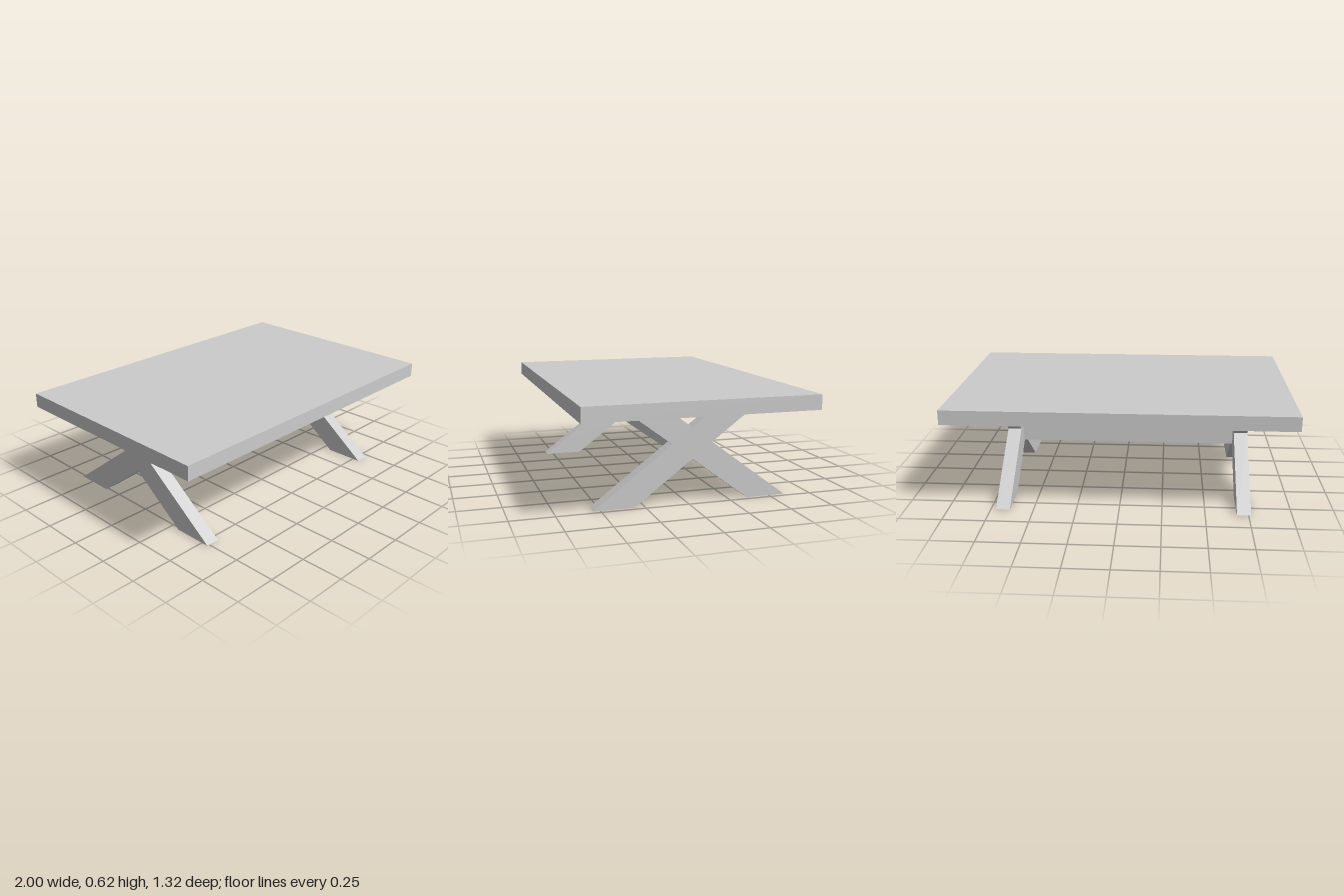
import * as THREE from 'three';

const TOP_Y = 0.54;          // underside of the table top
const BASE_X = -0.022;       // the base sits slightly off centre
const BASE_Z = -0.027;
const LEG_T = 0.082;         // leg thickness
const LEG_X = 0.702;         // leg centre from base centre

export function createModel() {
  const group = new THREE.Group();
  const material = new THREE.MeshStandardMaterial({ color: 0xcccccc, flatShading: true });

  const add = (name, geometry, x, y, z) => {
    const mesh = new THREE.Mesh(geometry, material);
    mesh.name = name;
    mesh.position.set(x, y, z);
    group.add(mesh);
  };

  // Table top
  const topH = 0.085;
  add('tableTop', new THREE.BoxGeometry(2, topH, 1.324), 0, TOP_Y + topH / 2, 0);

  // Crossed leg outline: one half, then its mirror
  const half = [
    [0, 0.251], [0.335, 0], [0.57, 0], [0.117, 0.34],
    [0.387, TOP_Y], [0.15, TOP_Y], [0, 0.427],
  ];
  const mirrored = half.slice(1, -1).reverse().map(([x, y]) => [-x, y]);
  const outline = [...half, ...mirrored].map(([x, y]) => new THREE.Vector2(x, y));
  const legGeometry = new THREE.ExtrudeGeometry(new THREE.Shape(outline), {
    depth: LEG_T, bevelEnabled: false,
  });
  legGeometry.translate(0, 0, -LEG_T / 2).rotateY(Math.PI / 2);

  for (const [name, side] of [['leftCrossLeg', 1], ['rightCrossLeg', -1]]) {
    add(name, legGeometry, BASE_X + side * LEG_X, 0, BASE_Z);
  }

  // Stretcher board between the legs
  const length = 2 * LEG_X - LEG_T;
  add('stretcher', new THREE.BoxGeometry(length, 0.17, 0.082), BASE_X, 0.325, BASE_Z);

  return group;
}
